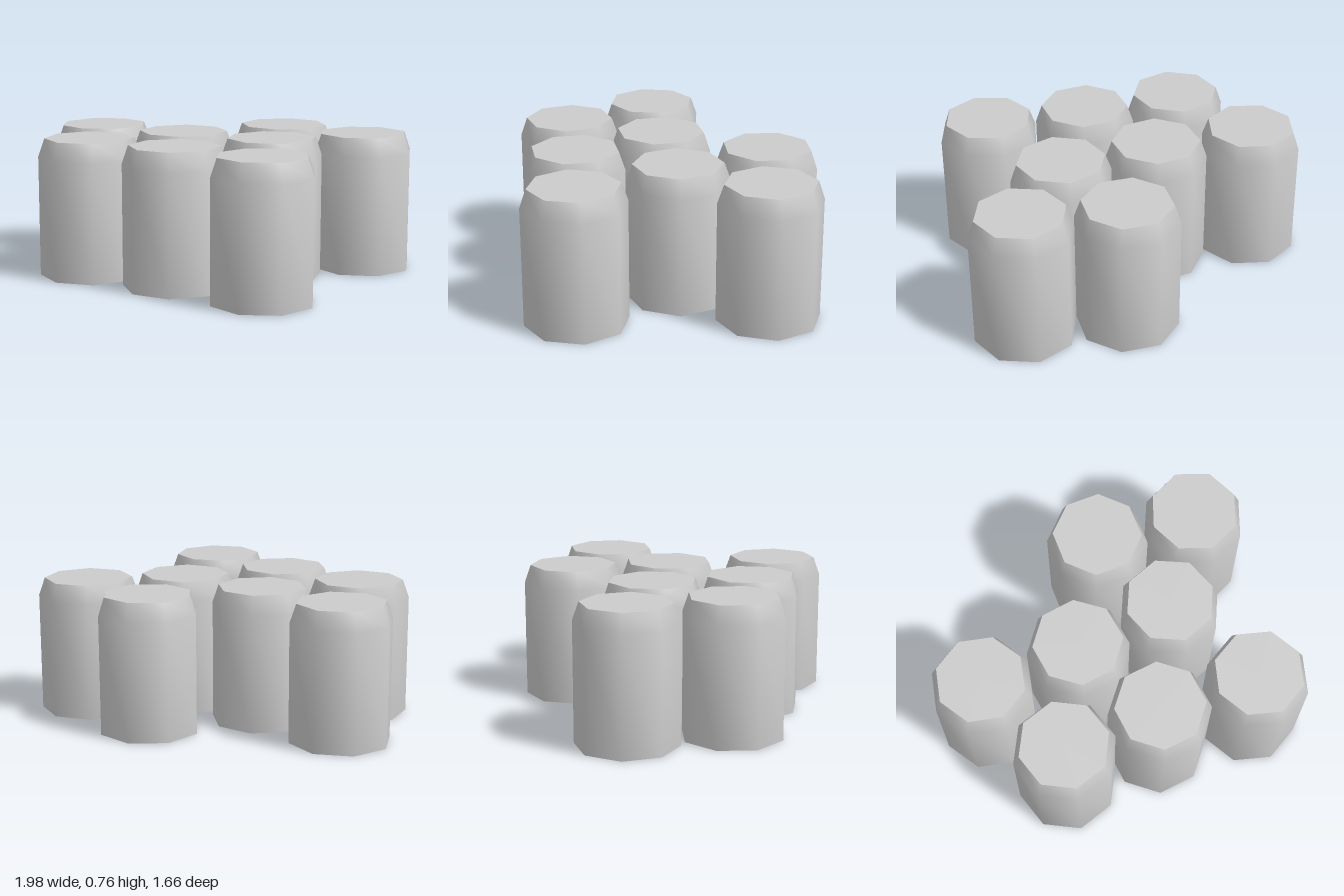
import * as THREE from 'three';
import { toCreasedNormals } from 'three/addons/utils/BufferGeometryUtils.js';

const RADIUS = 0.281;
const TOP_RADIUS = 0.246;
const HEIGHT = 0.76;
const SHOULDER = 0.66;

// Centre x, centre z and turn in degrees for each canister
const CANISTERS = [
  [0.11, -0.567, -17.3],
  [0.667, -0.555, 7.5],
  [0.382, -0.08, 2.7],
  [-0.165, 0.016, -9.5],
  [-0.72, 0.075, 15],
  [-0.39, 0.547, 0],
  [0.158, 0.48, -11.5],
  [0.717, 0.452, 12],
];

// Eight-sided body: smooth wall and sloped shoulder, crisp flat ends
function canisterGeometry() {
  const profile = [
    [0, 0],
    [RADIUS, 0],
    [RADIUS, SHOULDER],
    [TOP_RADIUS, HEIGHT],
    [0, HEIGHT],
  ].map(([r, y]) => new THREE.Vector2(r, y));
  return toCreasedNormals(new THREE.LatheGeometry(profile, 8), THREE.MathUtils.degToRad(52));
}

export function createModel() {
  const group = new THREE.Group();
  group.name = 'canisterCluster';
  const material = new THREE.MeshStandardMaterial({ color: 0xcccccc });
  const geometry = canisterGeometry();

  CANISTERS.forEach(([x, z, turn], i) => {
    const canister = new THREE.Mesh(geometry, material);
    canister.name = `canister${i + 1}`;
    canister.position.set(x, 0, z);
    canister.rotation.y = THREE.MathUtils.degToRad(turn);
    group.add(canister);
  });
  return group;
}
